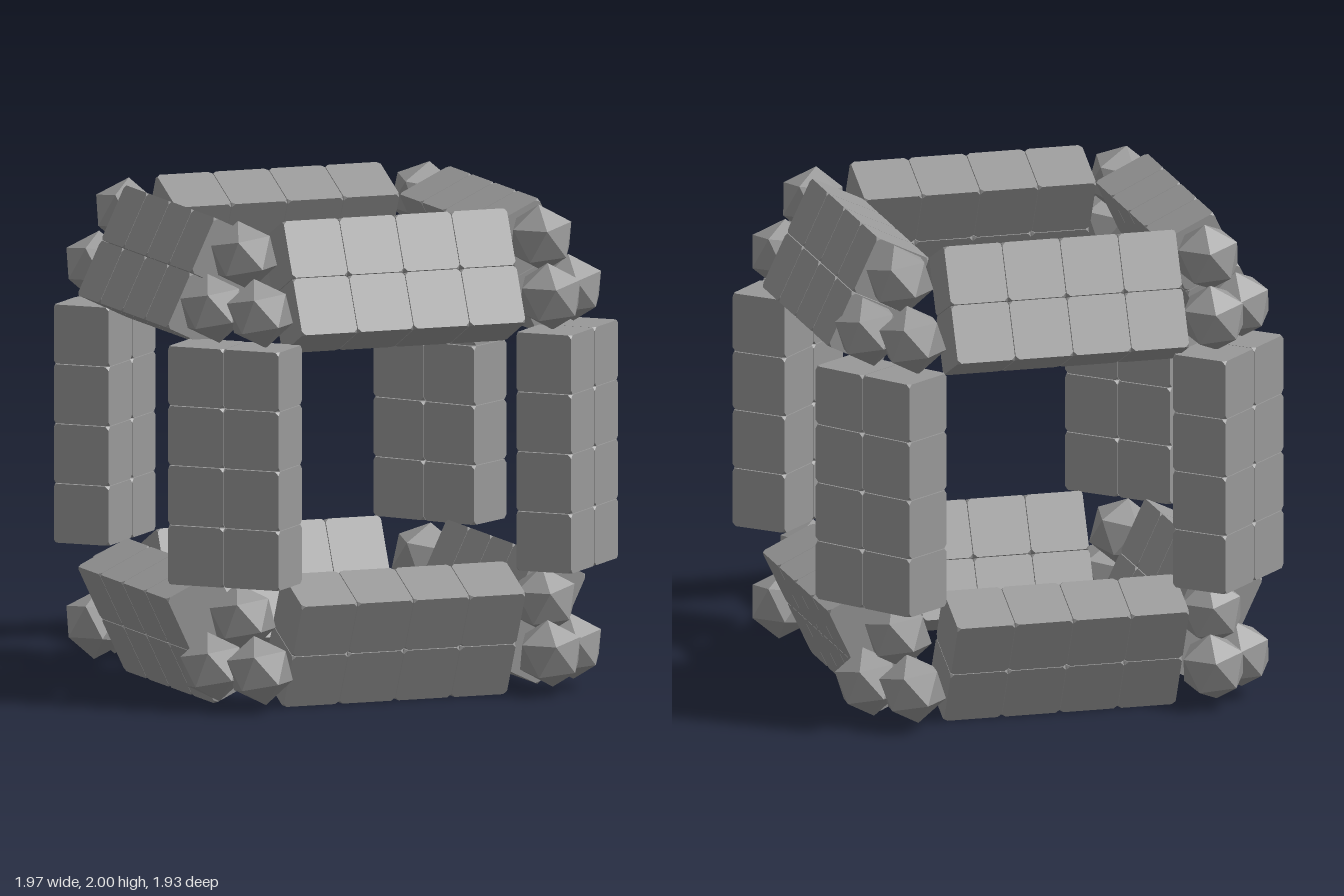
import * as THREE from 'three';
import { ConvexGeometry } from 'three/addons/geometries/ConvexGeometry.js';

const PITCH = 0.245;
const material = new THREE.MeshStandardMaterial({ color: 0x999999, flatShading: true });

// Cube with small cut-off corners, a hair smaller than the pitch so seams show
function blockGeometry() {
  const h = PITCH / 2 - 0.0015, c = h - 0.015, points = [];
  for (const x of [-1, 1]) for (const y of [-1, 1]) for (const z of [-1, 1]) {
    points.push(new THREE.Vector3(x * c, y * h, z * h));
    points.push(new THREE.Vector3(x * h, y * c, z * h));
    points.push(new THREE.Vector3(x * h, y * h, z * c));
  }
  return new ConvexGeometry(points);
}

// Icosahedron turned so that a face points along x and one of its corners up
function ballGeometry() {
  const e1 = new THREE.Vector3(1, 1, 1).normalize();
  const e2 = new THREE.Vector3(0.127, 0.745, -0.873).normalize();
  const e3 = new THREE.Vector3().crossVectors(e1, e2);
  const turn = new THREE.Matrix4().makeBasis(e1, e2, e3).transpose();
  return new THREE.IcosahedronGeometry(0.143, 0).applyMatrix4(turn);
}

// Beam of 4 x 2 blocks, placed by its centre, length axis and outward direction
function beam(name, block, centre, along, outward) {
  const group = new THREE.Group();
  group.name = name;
  for (let i = 0; i < 4; i++) for (let j = 0; j < 2; j++) {
    const mesh = new THREE.Mesh(block, material);
    mesh.name = 'beamBlock';
    mesh.position.set((i - 1.5) * PITCH, (j - 0.5) * PITCH, 0);
    group.add(mesh);
  }
  const l = new THREE.Vector3(...along);
  const n = new THREE.Vector3(...outward).normalize();
  const w = new THREE.Vector3().crossVectors(n, l);
  group.quaternion.setFromRotationMatrix(new THREE.Matrix4().makeBasis(l, w, n));
  group.position.set(...centre);
  return group;
}

// Three faceted balls: one above, two side by side below
function cornerCluster(ball, sx, sz, top) {
  const group = new THREE.Group();
  group.name = top ? 'topCornerCluster' : 'bottomCornerCluster';
  const spots = top
    ? [[0.65, 1.86, 0.64], [0.782, 1.65, 0.635], [0.635, 1.64, 0.775]]
    : [[0.66, 0.375, 0.65], [0.782, 0.18, 0.635], [0.635, 0.175, 0.775]];
  for (const [x, y, z] of spots) {
    const mesh = new THREE.Mesh(ball, material);
    mesh.name = 'cornerBall';
    mesh.position.set(sx * x - 0.01, y, sz * z);
    mesh.rotation.y = Math.atan2(sx, sz);
    group.add(mesh);
  }
  return group;
}

export function createModel() {
  const model = new THREE.Group();
  model.name = 'beamCage';
  const block = blockGeometry();
  const ball = ballGeometry();

  // Top and bottom rings, tilted outward and up or down
  for (const sy of [1, -1]) {
    const level = sy > 0 ? 'top' : 'bottom';
    const y = 1.002 + sy * 0.725;
    for (const s of [1, -1]) {
      model.add(beam(level + (s > 0 ? 'Front' : 'Back') + 'Beam', block,
        [-0.02, y, s * 0.685], [1, 0, 0], [0, sy * 0.43, s * 0.903]));
      model.add(beam(level + (s > 0 ? 'Left' : 'Right') + 'Beam', block,
        [-0.02 + s * 0.704, y, 0.005], [0, 0, 1], [s * 0.903, sy * 0.43, 0]));
    }
  }

  // Upright beams on the diagonals; the back left one is turned a little
  for (const sx of [1, -1]) for (const sz of [1, -1]) {
    const turned = sx > 0 && sz < 0;
    const centre = turned ? [0.735, 1.015, -0.696] : [sx * 0.727, 1.015, sz * 0.708];
    const outward = turned ? [0.816, 0, -0.578] : [sx, 0, sz];
    model.add(beam((sz > 0 ? 'front' : 'back') + (sx > 0 ? 'Left' : 'Right') + 'Upright',
      block, centre, [0, 1, 0], outward));
    for (const top of [true, false]) model.add(cornerCluster(ball, sx, sz, top));
  }
  return model;
}
